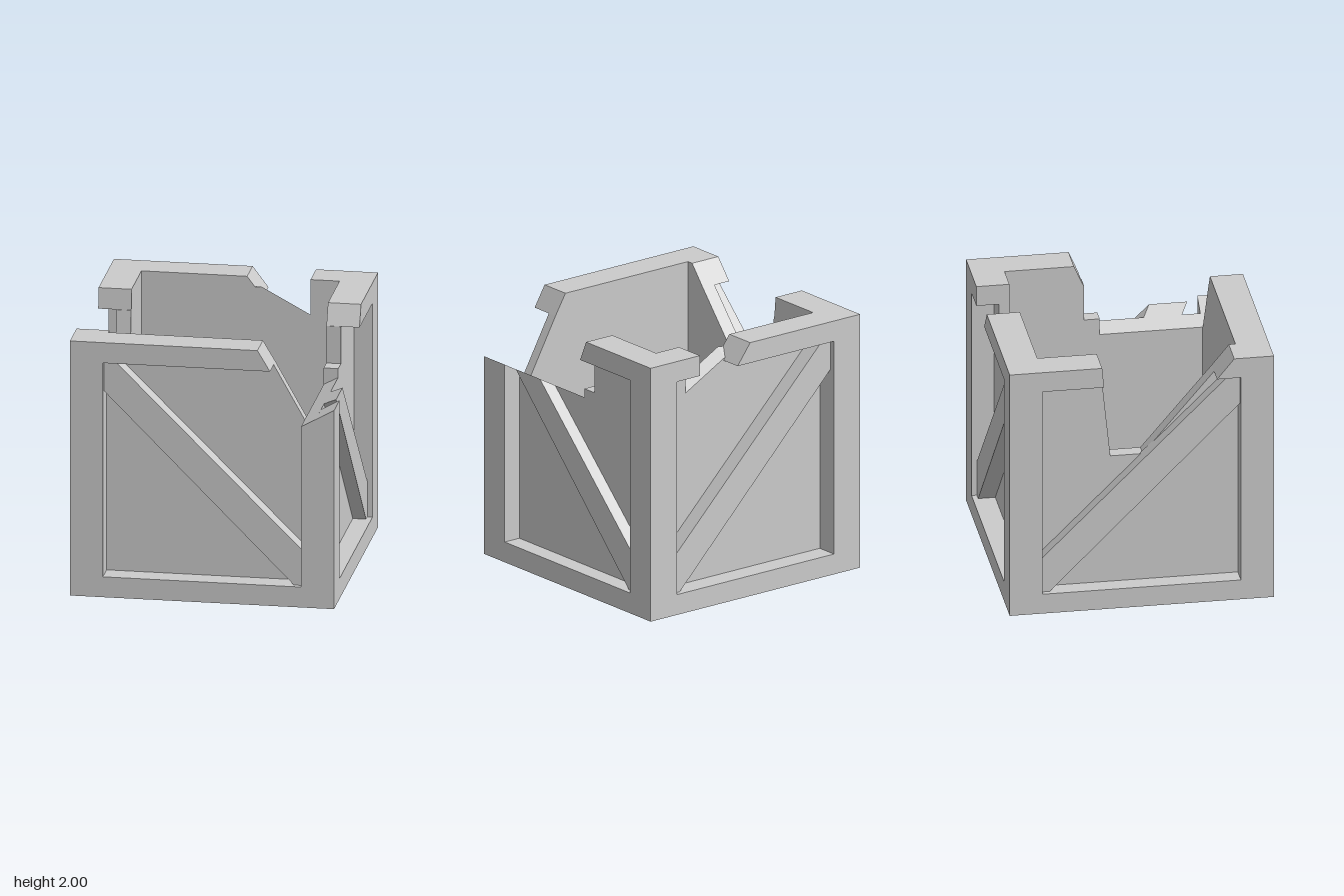
import * as THREE from 'three';

const INNER = 0.75;   // inside face of every wall
const BRACE = 0.96;   // outside face of the diagonal braces
const OPEN = 0.84;    // half width of the window in each frame
const SILL = 0.16;    // lower edge of the window
const LINTEL = 1.84;  // upper edge of the window
const grey = new THREE.MeshStandardMaterial({ color: 0xcccccc, flatShading: true });

// Extrudes an outline (across, up) between two distances from the crate's centre.
// The tilt rule moves corners so that broken edges can slope through the thickness.
function slab(name, outline, from, to, tilt) {
  const shape = new THREE.Shape(outline.map(([u, y]) => new THREE.Vector2(u, y)));
  const geo = new THREE.ExtrudeGeometry(shape, { depth: to - from, bevelEnabled: false });
  geo.translate(0, 0, from);
  const pos = geo.attributes.position;
  const v = new THREE.Vector3();
  for (let i = 0; i < pos.count; i++) {
    tilt(v.fromBufferAttribute(pos, i));
    pos.setXYZ(i, v.x, v.y, v.z);
  }
  geo.computeVertexNormals();
  const mesh = new THREE.Mesh(geo, grey);
  mesh.name = name;
  return mesh;
}

// Upper end of a frame's side: a post carrying a stump of top rail, or a post snapped off.
// Both run from the outside edge to the window; side is 1 or -1.
const rail = (side, top, bottom) => [[side, 2], [top, 2], [bottom, LINTEL], [side * OPEN, LINTEL]];
const stump = (side, outerY, windowY) => [[side, outerY], [side * OPEN, windowY]];

// Broken frame outline: bottom rail, then both upper ends joined around the window
const frameOutline = (rightEnd, leftEnd) => [
  [-1, 0], [1, 0], ...rightEnd, [OPEN, SILL], [-OPEN, SILL], ...leftEnd.reverse(),
];

// Panel outline: a rectangle behind the window whose top follows the break from right to left
const panelOutline = (rightY, breakLine, leftY) => [
  [-0.85, 0.1], [0.85, 0.1], [0.85, rightY], ...breakLine, [-0.85, leftY],
];

// Diagonal brace from upper left to lower right, clipped by the window
const falling = () => [
  [-OPEN, LINTEL], [-OPEN, 1.70], [0.69, SILL], [OPEN, SILL], [OPEN, 0.35], [-0.66, LINTEL],
];
const rising = () => falling().map(([u, y]) => [-u, y]).reverse();

// One side of the crate: broken frame, recessed panel and diagonal brace
function wall(name, turns, face, frame, panel, brace, tilt = () => {}) {
  const group = new THREE.Group();
  group.name = name + 'Wall';
  group.add(
    slab(name + 'Frame', frame, INNER, 1, tilt),
    slab(name + 'Panel', panel, INNER, face, tilt),
    slab(name + 'Brace', brace, face - 0.02, BRACE, tilt)
  );
  group.rotation.y = turns * Math.PI / 2;
  return group;
}

// Back break: the panel edge is higher on the inside
function tiltBack(v) {
  if ((v.y > 1.855 && v.y < 1.87) || (v.y > 1.6 && v.y < 1.69)) v.y += (0.83 - v.z) * 0.8;
}

// Left break: everything cut at 1.5 slopes down toward the inside of the crate
function tiltLeft(v) {
  if (Math.abs(v.y - 1.5) > 0.001) return;
  v.y = 1.42 + 0.56 * (v.z - INNER);
  if (v.x > -0.7 && v.x < -0.3) v.x += 1.54 - v.y;
}

export function createModel() {
  const crate = new THREE.Group();
  crate.name = 'brokenCrate';

  crate.add(wall('front', 0, 0.83,
    frameOutline(stump(1, 1.56, 1.47), rail(-1, 0.42, 0.515)),
    panelOutline(1.476, [[INNER, 1.42], [0.515, LINTEL]], LINTEL),
    falling()));

  crate.add(wall('back', 2, 0.83,
    frameOutline(rail(1, -0.05, -0.17), rail(-1, -0.53, -0.53)),
    panelOutline(LINTEL, [[-0.16, 1.86], [-0.53, 1.66], [-0.53, LINTEL]], LINTEL),
    rising(), tiltBack));

  crate.add(wall('left', 1, 0.86,
    frameOutline(rail(1, 0.225, 0.155), stump(-1, 1.5, 1.5)),
    panelOutline(LINTEL, [[0.15, LINTEL], [0.15, 1.55], [0.03, 1.55], [0.03, 1.5]], 1.5),
    [[-0.67, 1.5], ...falling().slice(2, 5), [-0.38, 1.5]], tiltLeft));

  crate.add(wall('right', -1, 0.86,
    frameOutline(rail(1, 0.70, 0.57), rail(-1, -0.30, -0.285)),
    panelOutline(LINTEL, [[0.57, LINTEL], [0.03, 1.2], [-0.215, 1.2], [-0.28, LINTEL]], LINTEL),
    rising()));

  // Floor
  const floor = new THREE.Mesh(new THREE.BoxGeometry(1.52, 0.25, 1.52), grey);
  floor.name = 'floor';
  floor.position.y = 0.125;
  crate.add(floor);
  return crate;
}
